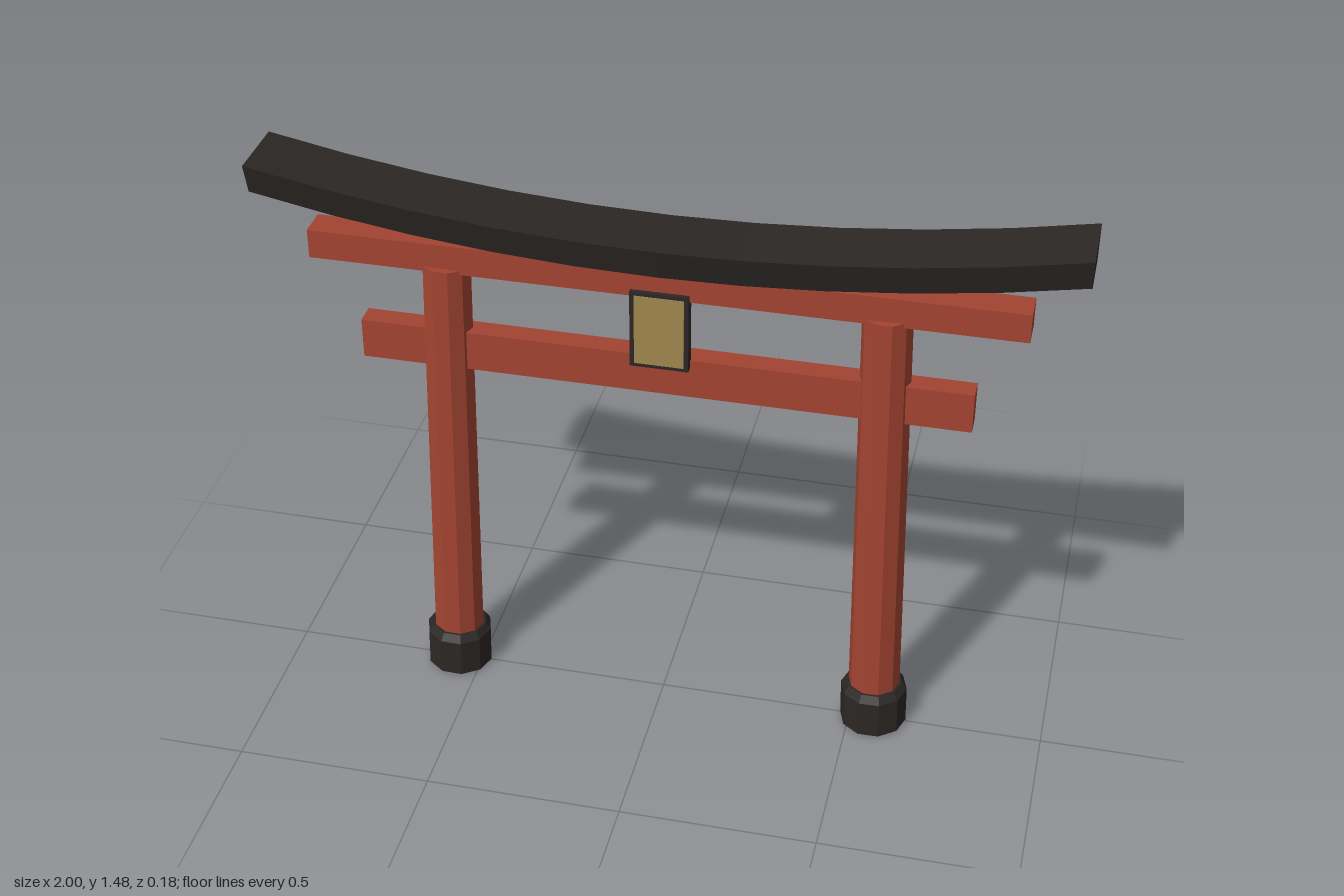
import * as THREE from 'three';

const paint = (color) => new THREE.MeshStandardMaterial({ color, flatShading: true });

export function createModel() {
  const model = new THREE.Group();
  const red = paint(0xa34431);
  const black = paint(0x2b2725);
  const gold = paint(0xa0874f);

  const add = (name, geometry, material, x = 0, y = 0, z = 0, parent = model) => {
    const mesh = new THREE.Mesh(geometry, material);
    mesh.name = name;
    mesh.position.set(x, y, z);
    parent.add(mesh);
    return mesh;
  };
  const box = (name, w, h, d, material, y, z = 0) =>
    add(name, new THREE.BoxGeometry(w, h, d), material, 0, y, z);

  // Ten-sided posts with collared feet, leaning slightly inward
  const footProfile = [[0, 0.002], [0.086, 0.002], [0.086, 0.105], [0.073, 0.125], [0.05, 0.125]]
    .map(([r, y]) => new THREE.Vector2(r, y));
  for (const side of [1, -1]) {
    const leg = new THREE.Group();
    leg.name = side > 0 ? 'leftLeg' : 'rightLeg';
    leg.position.set(side * 0.562, 0.0015, 0);
    leg.rotation.z = side * 0.02;
    const post = new THREE.CylinderGeometry(0.061, 0.067, 1.235, 10, 1, false, Math.PI / 2);
    add('post', post, red, 0, 0.6175, 0, leg);
    add('foot', new THREE.LatheGeometry(footProfile, 10, Math.PI / 2), black, 0, 0, 0, leg);
    model.add(leg);
  }

  // Crossbeams and the short strut between them
  box('upperBeam', 1.746, 0.075, 0.08, red, 1.2625);
  box('lowerBeam', 1.514, 0.105, 0.056, red, 1.0025);
  box('centreStrut', 0.065, 0.18, 0.05, red, 1.14);

  // Framed plaque on the front
  box('plaqueFrame', 0.144, 0.208, 0.03, black, 1.139, 0.036);
  box('plaquePanel', 0.122, 0.188, 0.01, gold, 1.139, 0.048);

  // Upswept top lintel, narrower along its underside
  const lintel = new THREE.BoxGeometry(2, 0.08, 0.18, 10, 1, 1);
  const p = lintel.attributes.position;
  for (let i = 0; i < p.count; i++) {
    const x = p.getX(i), y = p.getY(i);
    if (y < 0) p.setZ(i, p.getZ(i) * 0.75);
    p.setY(i, y + 0.105 * x * x);
  }
  lintel.computeVertexNormals();
  add('topLintel', lintel, black, 0, 1.34, 0);

  return model;
}
